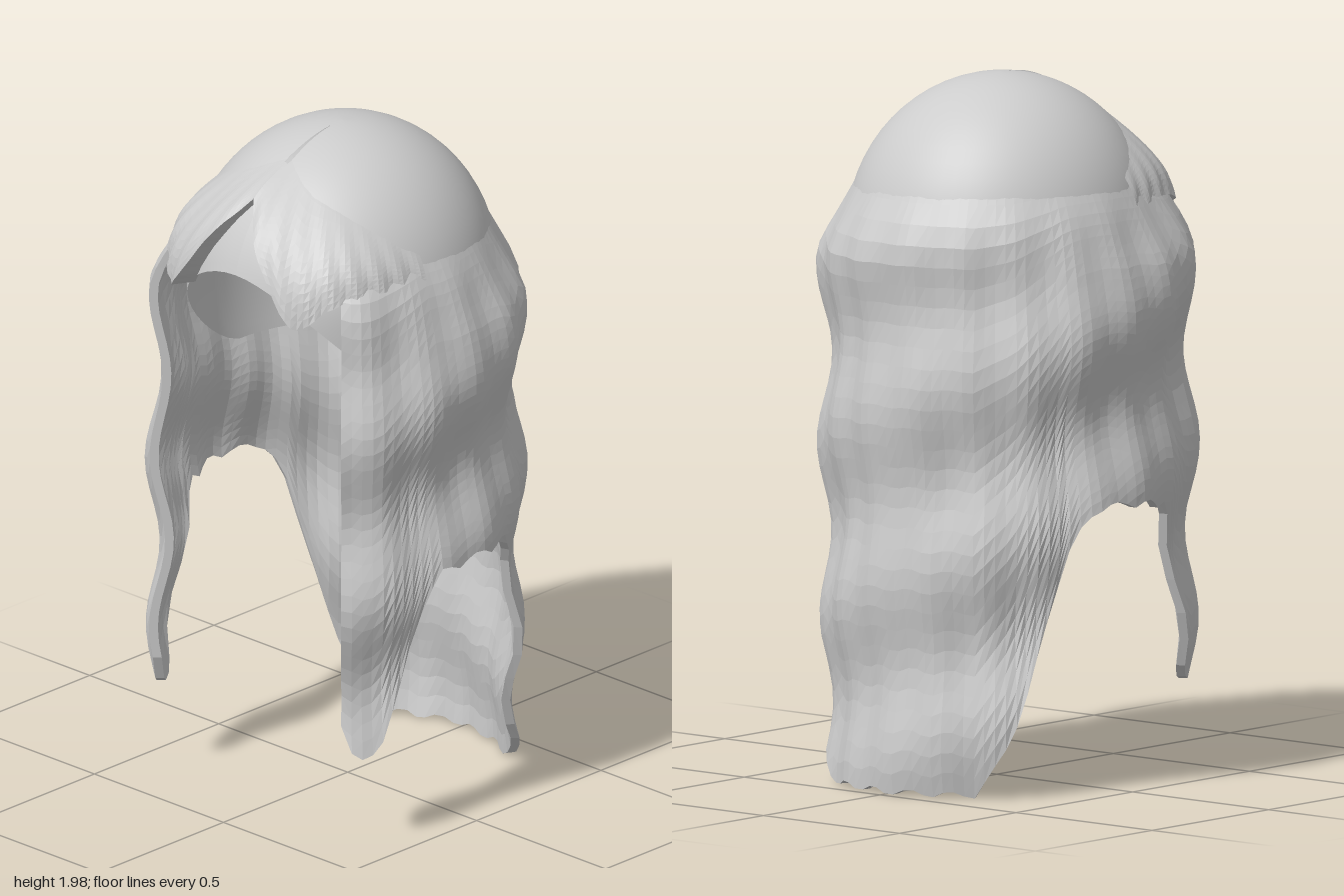
import * as THREE from 'three';

const { clamp, lerp, smoothstep } = THREE.MathUtils;
const CAP = { y: 1.55, rx: 0.425, ry: 0.45, rz: 0.445, z: 0.02 };

// Piecewise linear lookup in a list of [key, value] with rising keys
function ramp(table, k) {
  for (let i = 1; i < table.length; i++) {
    const [a, va] = table[i - 1], [b, vb] = table[i];
    if (k <= b) return lerp(va, vb, clamp((k - a) / (b - a), 0, 1));
  }
  return table[table.length - 1][1];
}

// Grid surface from fn(i, j) -> Vector3; flat gives one normal per face
function grid(nu, nv, fn, flat) {
  const pos = [], idx = [];
  for (let i = 0; i <= nu; i++) {
    for (let j = 0; j <= nv; j++) pos.push(...fn(i, j).toArray());
  }
  for (let i = 0; i < nu; i++) {
    for (let j = 0; j < nv; j++) {
      const a = i * (nv + 1) + j, b = a + nv + 1;
      idx.push(a, a + 1, b, b, a + 1, b + 1);
    }
  }
  let geo = new THREE.BufferGeometry();
  geo.setAttribute('position', new THREE.Float32BufferAttribute(pos, 3));
  geo.setIndex(idx);
  if (flat) geo = geo.toNonIndexed();
  geo.computeVertexNormals();
  return geo;
}

// Point on the skull cap at an azimuth (0 = front) and height, pushed out by off
function capPoint(theta, y, off = 0) {
  const c = clamp((y - CAP.y) / CAP.ry, -1, 1);
  const f = c > 0 ? Math.sqrt(1 - c * c) : 1 - 0.11 * c * c;
  const up = Math.max(c, 0) * off;
  return new THREE.Vector3(
    Math.sin(theta) * (CAP.rx * f + off * f), y + up,
    CAP.z + Math.cos(theta) * (CAP.rz * f + off * f));
}

// Smooth dome with an arched opening over the face
function capGeometry() {
  const nu = 64, nv = 24;
  return grid(nu, nv, (i, j) => {
    const theta = (i / nu) * Math.PI * 2;
    const rim = 1.22 + 0.44 * Math.pow(Math.max(0, Math.cos(theta)), 1.5);
    const phi = Math.acos((rim - CAP.y) / CAP.ry) * (j / nv);
    return capPoint(theta, CAP.y + CAP.ry * Math.cos(phi));
  });
}

// Half of the curtain's plan, from the front lock to the middle of the back
const HALF = [[0.36, 0.4], [0.405, 0.36], [0.45, 0.27], [0.497, 0.07], [0.478, -0.12],
  [0.42, -0.24], [0.33, -0.34], [0.2, -0.42], [0.07, -0.463]];
// Hem height against z: long back, short sides, long front locks
const HEM = [[-0.39, 0.01], [-0.37, 0.06], [-0.35, 0.12], [-0.3, 0.3], [-0.25, 0.52],
  [-0.21, 0.69], [-0.17, 0.78], [-0.13, 0.82], [0, 0.82], [0.15, 0.8], [0.2, 0.68],
  [0.25, 0.5], [0.31, 0.33], [0.35, 0.28], [0.38, 0.3], [0.41, 0.42]];

// Long hair: closed shell whose waves wind around the head
function curtainGeometry() {
  const plan = new THREE.CatmullRomCurve3([
    ...HALF.map(([x, z]) => new THREE.Vector3(x, 0, z)),
    ...HALF.slice().reverse().map(([x, z]) => new THREE.Vector3(-x, 0, z))]);
  const nu = 82, rows = 30, top = 1.74;
  return grid(nu, rows * 2 + 1, (i, j) => {
    // The first and last columns repeat to close the front edges
    const u = clamp((i - 1) / (nu - 2), 0, 1);
    const inner = j > rows && i > 0 && i < nu;
    const t = (j > rows ? rows * 2 + 1 - j : j) / rows;
    const p = plan.getPointAt(u);
    let a = Math.atan2(-p.z, p.x);
    if (p.x < 0 && a < 0) a += Math.PI * 2;
    const tooth = p.z < 0.18 ? 0.025 * Math.abs(Math.sin(u * 62)) : 0;
    const y = lerp(top, ramp(HEM, p.z) + tooth, t);

    // Spiral waves plus fine strand ripples
    const side = Math.abs(Math.cos(a));
    const wave = lerp(0.015, 0.022, side) *
      Math.cos(Math.PI * 2 * (y - 1.35 - 0.5 * a / Math.PI) / 0.5);
    const strand = 0.005 * Math.sin(u * 90 + y * 3) + 0.003 * Math.sin(u * 41 - y * 7);
    const dir = new THREE.Vector3(p.x, 0, p.z).normalize();
    p.addScaledVector(dir, wave + strand - (inner ? 0.025 : 0));
    p.y = y;

    // Blend the roots into the cap
    const theta = Math.atan2(p.x / CAP.rx, (p.z - CAP.z) / CAP.rz);
    const root = capPoint(theta, y, inner ? -0.025 : -0.008);
    root.y = y;
    const f = clamp((top - y) / 0.26, 0, 1);
    const k = lerp(smoothstep(f, 0, 1), Math.sin(f * Math.PI / 2), clamp((p.z - 0.1) / 0.3, 0, 1));
    return root.lerp(p, k);
  }, true);
}

// Parted fringe: two swept lobes, lower edge given against azimuth in degrees
const FRINGE = [[0, 1.87], [8, 1.8], [16, 1.71], [24, 1.61], [29, 1.56], [33, 1.575],
  [39, 1.62], [47, 1.65], [60, 1.66], [78, 1.64]];

function fringeGeometry() {
  const nu = 78, nv = 14;
  return grid(nu, nv, (i, j) => {
    const deg = (i / nu) * 156 - 78, d = Math.abs(deg);
    const bottom = ramp(FRINGE, d);
    const top = Math.max(1.95 - 0.2 * Math.pow(d / 78, 1.5), bottom + 0.04);
    const t = Math.min(1, j / (nv - 1));
    const y = lerp(top, bottom, t);
    const fade = 1 - smoothstep(d, 38, 78);
    let off = -0.008 + (0.018 + 0.052 * fade) * Math.sin(Math.min(1, t * 1.25) * Math.PI / 2);
    off += 0.005 * t * Math.sin(d * 0.7 + y * 25);
    // The last row folds back to the cap
    if (j === nv) off = -0.005;
    const p = capPoint(THREE.MathUtils.degToRad(deg), y, off);
    p.y = y;
    return p;
  }, true);
}

// Small tapered ridge along the parting on the crown
function partingGeometry() {
  return grid(2, 8, (i, j) => {
    const t = j / 8, z = lerp(0.05, 0.25, t), s = (z - CAP.z) / CAP.rz;
    const y = CAP.y + CAP.ry * Math.sqrt(1 - s * s);
    return new THREE.Vector3((i - 1) * 0.013 * t, y + (i === 1 ? 0.008 * t : -0.003), z);
  }, true);
}

export function createModel() {
  const hair = new THREE.MeshStandardMaterial({ color: 0xcccccc, side: THREE.DoubleSide });
  hair.name = 'hair grey';
  const model = new THREE.Group();
  model.name = 'longWavyHair';
  const parts = {
    skullCap: capGeometry(),
    longWaves: curtainGeometry(),
    partedFringe: fringeGeometry(),
    crownParting: partingGeometry(),
  };
  for (const [name, geometry] of Object.entries(parts)) {
    const mesh = new THREE.Mesh(geometry, hair);
    mesh.name = name;
    model.add(mesh);
  }
  return model;
}
